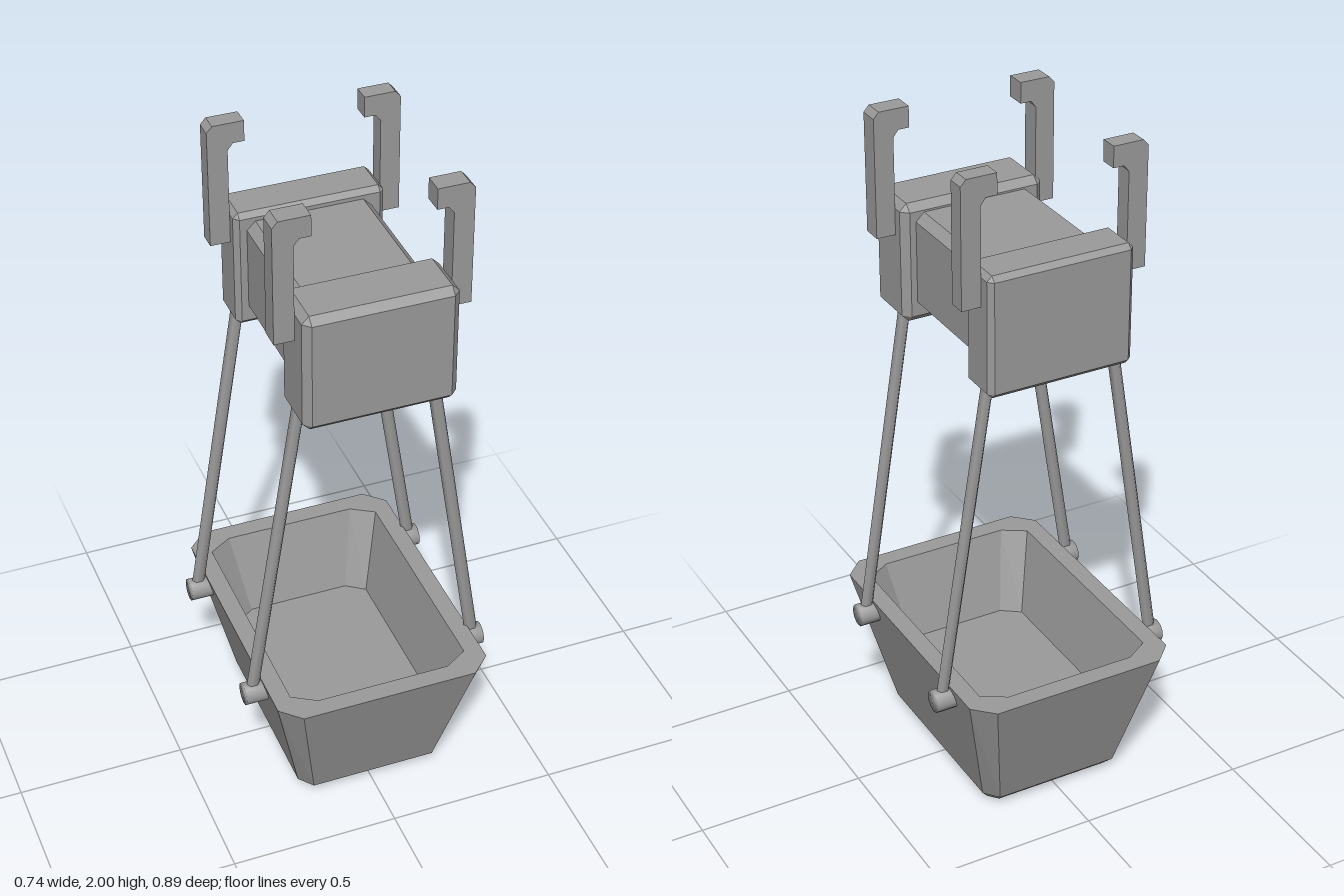
import * as THREE from 'three';
import { ConvexGeometry } from 'three/addons/geometries/ConvexGeometry.js';
import { mergeVertices } from 'three/addons/utils/BufferGeometryUtils.js';

const faceted = new THREE.MeshStandardMaterial({ color: 0x9a9a9a, flatShading: true });
const smooth = new THREE.MeshStandardMaterial({ color: 0x9a9a9a });

function part(name, geometry, parent, material = faceted) {
  const mesh = new THREE.Mesh(geometry, material);
  mesh.name = name;
  parent.add(mesh);
  return mesh;
}

// Rectangle with cut corners at height y
function ring(y, hx, hz, cx, cz) {
  return [[hx, cz], [cx, hz], [-cx, hz], [-hx, cz], [-hx, -cz], [-cx, -hz], [cx, -hz], [hx, -cz]]
    .map(([x, z]) => new THREE.Vector3(x, y, z));
}

// Skin through successive rings, closed at both ends
function loft(rings) {
  const pts = [];
  const n = rings[0].length;
  const first = rings[0], last = rings[rings.length - 1];
  for (let k = 0; k < rings.length - 1; k++) {
    const lo = rings[k], hi = rings[k + 1];
    for (let i = 0; i < n; i++) {
      const j = (i + 1) % n;
      pts.push(lo[i], hi[i], hi[j], lo[i], hi[j], lo[j]);
    }
  }
  for (let i = 1; i < n - 1; i++) {
    pts.push(first[0], first[i], first[i + 1]);
    pts.push(last[0], last[i + 1], last[i]);
  }
  const geometry = new THREE.BufferGeometry().setFromPoints(pts);
  geometry.computeVertexNormals();
  return geometry;
}

// Box with every edge chamfered by b
function chamferBox(w, h, d, b) {
  const pts = [];
  for (const sx of [-1, 1]) for (const sy of [-1, 1]) for (const sz of [-1, 1]) {
    const x = w / 2, y = h / 2, z = d / 2;
    pts.push(
      new THREE.Vector3(sx * x, sy * (y - b), sz * (z - b)),
      new THREE.Vector3(sx * (x - b), sy * y, sz * (z - b)),
      new THREE.Vector3(sx * (x - b), sy * (y - b), sz * z));
  }
  return new ConvexGeometry(pts);
}

// Hook outline for the +x side, with the tip pointing inward
function hookGeometry(depth) {
  const outline = [[0.22, 1.63], [0.278, 1.63], [0.278, 1.982], [0.262, 2], [0.172, 2],
    [0.172, 1.938], [0.205, 1.938], [0.22, 1.918]];
  const shape = new THREE.Shape(outline.map(([x, y]) => new THREE.Vector2(x, y)));
  return new THREE.ExtrudeGeometry(shape, { depth, bevelEnabled: false }).translate(0, 0, -depth / 2);
}

// Cylinder whose shading runs smoothly over side and ends
function softCylinder(radius, length, sides) {
  const geometry = new THREE.CylinderGeometry(radius, radius, length, sides);
  geometry.deleteAttribute('normal');
  geometry.deleteAttribute('uv');
  const merged = mergeVertices(geometry);
  merged.computeVertexNormals();
  return merged;
}

export function createModel() {
  const model = new THREE.Group();
  model.name = 'hangingBasket';

  // Tapered basket: underside, outer wall, rim, inner wall, floor
  part('basket', loft([
    ring(0, 0.2, 0.285, 0.175, 0.255),
    ring(0.035, 0.225, 0.32, 0.19, 0.277),
    ring(0.445, 0.323, 0.444, 0.265, 0.387),
    ring(0.445, 0.27, 0.388, 0.2, 0.345),
    ring(0.2, 0.212, 0.315, 0.157, 0.275),
  ]), model).position.x = 0.004;

  // Upper block: a beam between two larger end caps
  const block = new THREE.Group();
  block.name = 'upperBlock';
  model.add(block);
  part('beam', chamferBox(0.365, 0.295, 0.44, 0.025), block).position.set(0.003, 1.557, 0);
  part('frontCap', chamferBox(0.44, 0.36, 0.178, 0.021), block).position.set(0.005, 1.551, 0.26);
  part('backCap', chamferBox(0.44, 0.36, 0.135, 0.015), block).position.set(0.005, 1.551, -0.256);

  // Hooks, ropes and pegs at the four corners
  const up = new THREE.Vector3(0, 1, 0);
  for (const sx of [1, -1]) for (const sz of [1, -1]) {
    const corner = (sx > 0 ? 'Left' : 'Right') + (sz > 0 ? 'Front' : 'Back');

    const hook = part('hook' + corner, hookGeometry(sz > 0 ? 0.06 : 0.052), model);
    hook.position.set(0.004, 0, sz * 0.25);
    if (sx < 0) hook.rotation.y = Math.PI;

    // Flat ropes, wider across x than z
    const z = sz > 0 ? 0.24 : -0.252;
    const top = new THREE.Vector3(sx * 0.19, 1.41, z);
    const bottom = new THREE.Vector3(sx * 0.346, 0.4, z);
    const along = top.clone().sub(bottom);
    const ropeGeometry = softCylinder(0.013, along.length(), 6).rotateY(Math.PI / 6).scale(1.5, 1, 1);
    const rope = part('rope' + corner, ropeGeometry, model, smooth);
    rope.position.copy(top).add(bottom).multiplyScalar(0.5);
    rope.quaternion.setFromUnitVectors(up, along.normalize());

    const peg = part('peg' + corner, softCylinder(0.034, 0.08, 12), model, smooth);
    peg.rotation.z = Math.PI / 2;
    peg.position.set(sx * 0.332, 0.4, z);
  }
  return model;
}
